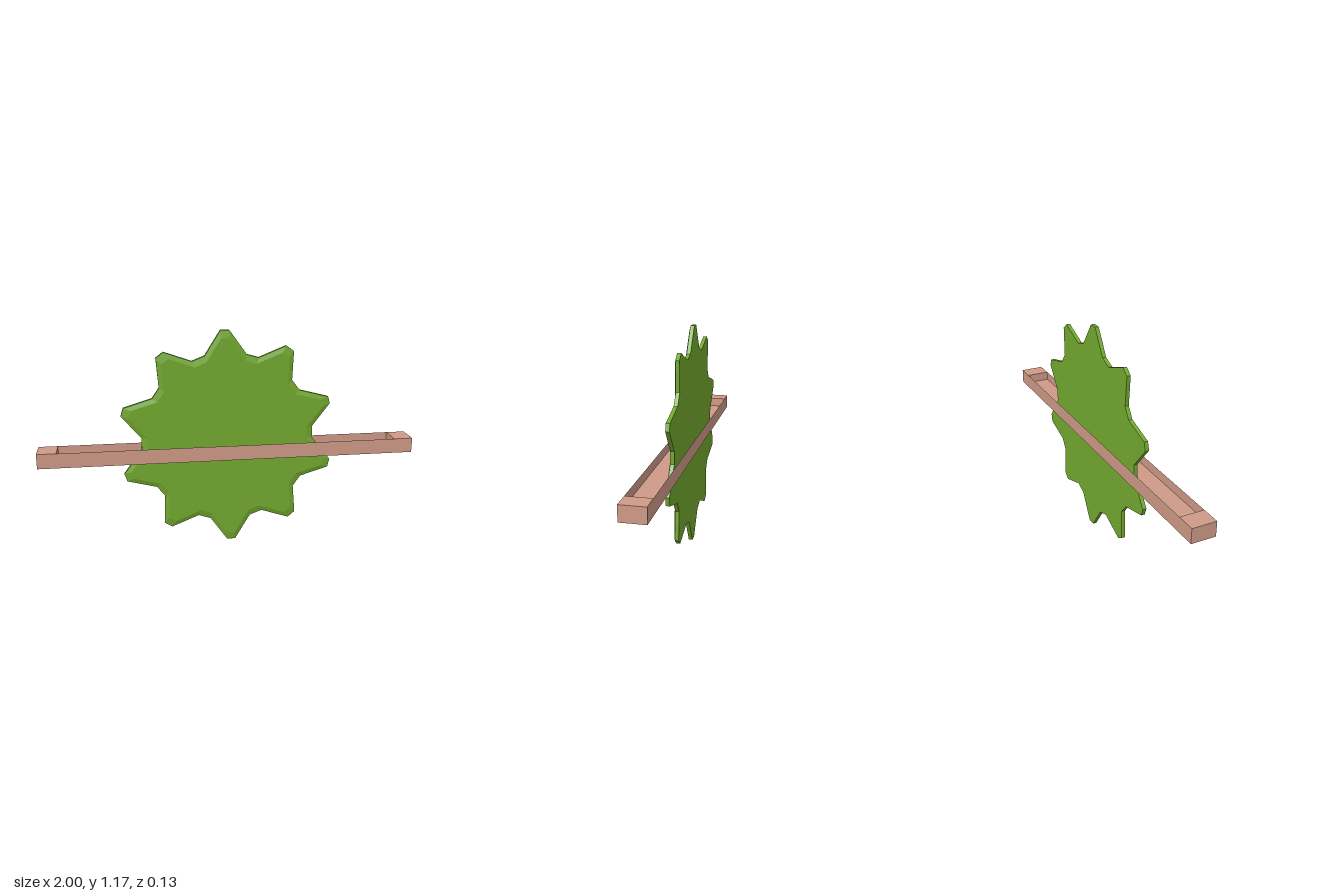
import * as THREE from 'three';

const green = new THREE.MeshStandardMaterial({ color: 0x73a92f, flatShading: true });
green.name = 'leaf green';
const clay = new THREE.MeshStandardMaterial({ color: 0xcf9a87, flatShading: true, side: THREE.DoubleSide });
clay.name = 'clay pink';

// Toothed outline, clockwise from the top tooth
const OUTLINE = [
  [-0.04, 1.173], [0.007, 1.173], [0.1, 1.043], [0.163, 1.025], [0.31, 1.084], [0.35, 1.055],
  [0.344, 0.9], [0.387, 0.843], [0.545, 0.802], [0.556, 0.765], [0.462, 0.642], [0.462, 0.578],
  [0.566, 0.447], [0.556, 0.402], [0.403, 0.356], [0.363, 0.298], [0.376, 0.145], [0.339, 0.113],
  [0.187, 0.163], [0.122, 0.139], [0.039, 0], [-0.006, 0], [-0.098, 0.131], [-0.164, 0.153],
  [-0.311, 0.094], [-0.351, 0.118], [-0.346, 0.279], [-0.389, 0.332], [-0.546, 0.372], [-0.56, 0.413],
  [-0.463, 0.546], [-0.463, 0.61], [-0.567, 0.733], [-0.554, 0.776], [-0.402, 0.822], [-0.364, 0.878],
  [-0.377, 1.036], [-0.337, 1.066], [-0.19, 1.014], [-0.123, 1.041],
].map(([x, y]) => new THREE.Vector2(x, y));
const CENTRE = new THREE.Vector2(0, 0.587);

// Outline shrunk towards the hub
const inset = (s) => OUTLINE.map((p) => p.clone().sub(CENTRE).multiplyScalar(s).add(CENTRE));

// Flat cap at depth z, optionally facing the back
function cap(points, z, back) {
  const g = new THREE.ShapeGeometry(new THREE.Shape(points));
  if (back) {
    const idx = g.index.array;
    for (let i = 0; i < idx.length; i += 3) [idx[i], idx[i + 1]] = [idx[i + 1], idx[i]];
    g.computeVertexNormals();
  }
  return g.translate(0, 0, z);
}

// Band joining a front ring to a ring behind it
function band(front, zf, rear, zr) {
  const pos = [];
  front.forEach((a, i) => {
    const j = (i + 1) % front.length;
    const A = [a.x, a.y, zf], B = [front[j].x, front[j].y, zf];
    const C = [rear[i].x, rear[i].y, zr], D = [rear[j].x, rear[j].y, zr];
    pos.push(...A, ...B, ...C, ...B, ...D, ...C);
  });
  const g = new THREE.BufferGeometry();
  g.setAttribute('position', new THREE.Float32BufferAttribute(pos, 3));
  g.computeVertexNormals();
  return g;
}

export function createModel() {
  const model = new THREE.Group();
  model.name = 'bladeInSlottedBar';
  const add = (name, geometry, material, parent = model) => {
    const mesh = new THREE.Mesh(geometry, material);
    mesh.name = name;
    parent.add(mesh);
    return mesh;
  };

  // Toothed blade with a shallow bevel on its front
  const blade = new THREE.Group();
  blade.name = 'blade';
  model.add(blade);
  const face = inset(0.93);
  add('bladeFront', cap(face, -0.022, false), green, blade);
  add('bladeBevel', band(face, -0.022, OUTLINE, -0.03), green, blade);
  add('bladeRim', band(OUTLINE, -0.03, OUTLINE, -0.05), green, blade);
  add('bladeBack', cap(OUTLINE, -0.05, true), green, blade);

  // Bar with solid ends and a sunken floor
  const y0 = 0.497, y1 = 0.576, floor = 0.527, w = 0.064;
  const profile = new THREE.Shape([
    [-1, y0], [1, y0], [1, y1], [0.9, y1], [0.9, floor], [-0.9, floor], [-0.9, y1], [-1, y1],
  ].map(([x, y]) => new THREE.Vector2(x, y)));
  const body = new THREE.ExtrudeGeometry(profile, { depth: 2 * w, bevelEnabled: false });
  add('bar', body.translate(0, 0, -w), clay);

  // Thin walls closing the slot at front and back
  for (const side of [1, -1]) {
    const wall = add(side > 0 ? 'frontSlotWall' : 'backSlotWall', new THREE.PlaneGeometry(1.8, y1 - floor), clay);
    wall.position.set(0, (y1 + floor) / 2, side * w);
    if (side < 0) wall.rotation.y = Math.PI;
  }
  return model;
}
